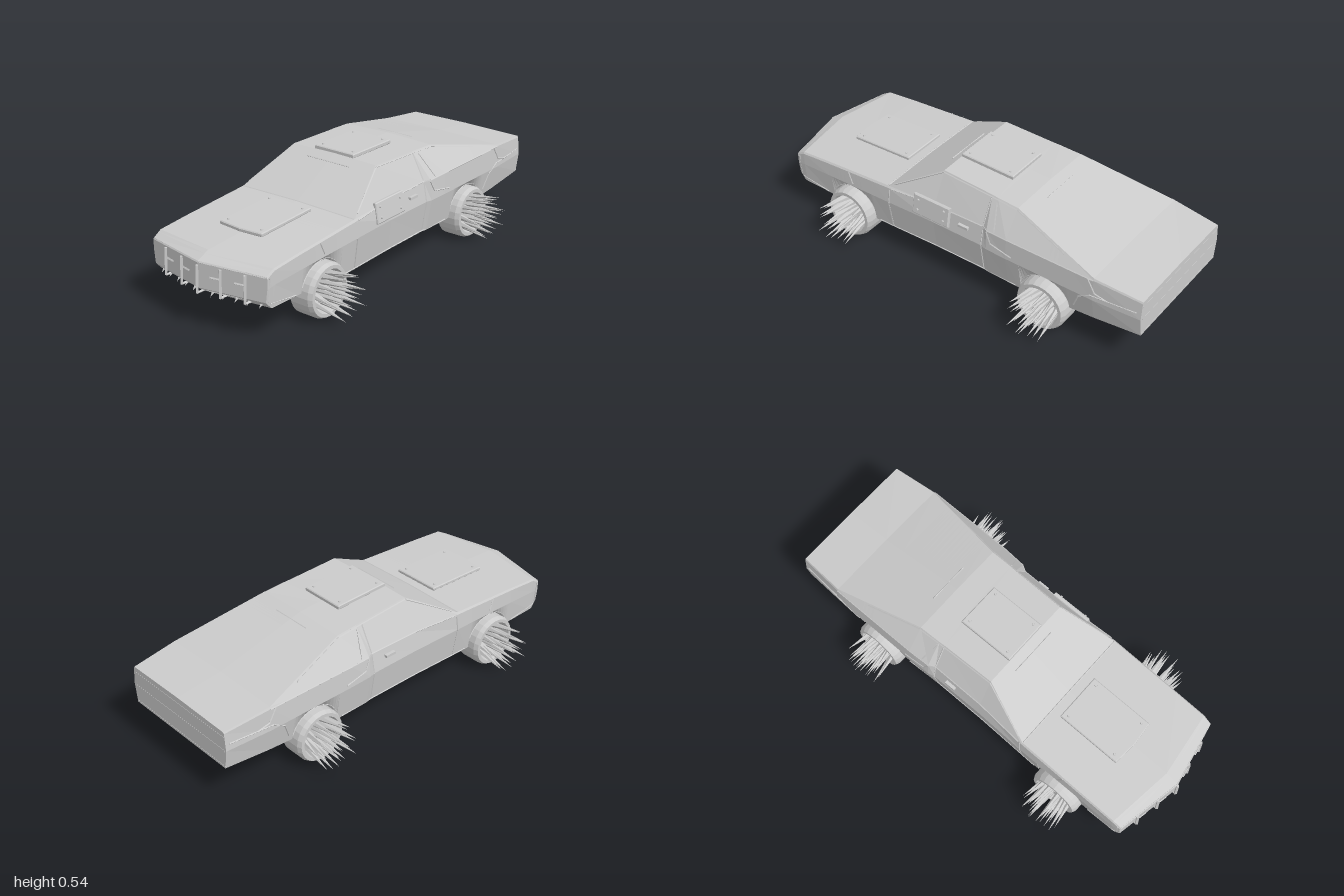
import * as THREE from 'three';

const flat = new THREE.MeshStandardMaterial({ color: 0xcccccc, flatShading: true, side: THREE.DoubleSide });
const V = (x, y, z) => new THREE.Vector3(x, y, z);
const WHEELS = [0.575, -0.52], ARCH = 0.13, AXLE = 0.125;

// Body stations: z, bottom x, waist x y, shoulder x y, top edge x y, centre y
const STATIONS = [
  [0.985, 0.314, 0.322, 0.25, 0.323, 0.297, 0.318, 0.306, 0.31],
  [0.92, 0.318, 0.326, 0.26, 0.326, 0.322, 0.32, 0.33, 0.338],
  [0.35, 0.312, 0.334, 0.28, 0.328, 0.358, 0.321, 0.367, 0.373],
  [0.09, 0.305, 0.327, 0.28, 0.311, 0.37, 0.235, 0.518, 0.523],
  [-0.18, 0.305, 0.329, 0.28, 0.311, 0.376, 0.241, 0.508, 0.515],
  [-0.21, 0.31, 0.337, 0.28, 0.328, 0.378, 0.243, 0.507, 0.513],
  [-0.32, 0.312, 0.34, 0.28, 0.334, 0.382, 0.245, 0.502, 0.509],
  [-0.77, 0.318, 0.34, 0.28, 0.335, 0.385, 0.33, 0.394, 0.40],
  [-1.0, 0.312, 0.325, 0.28, 0.317, 0.365, 0.313, 0.372, 0.376],
];
// Underside height: z, y
const UNDER = [[0.985, 0.19], [0.94, 0.157], [0.72, 0.15], [0.44, 0.125], [-0.38, 0.125], [-0.66, 0.155], [-1, 0.185]];

function sample(table, z) {
  let i = 0;
  while (i < table.length - 2 && z < table[i + 1][0]) i++;
  const a = table[i], b = table[i + 1], t = THREE.MathUtils.clamp((a[0] - z) / (a[0] - b[0]), 0, 1);
  return a.map((v, k) => v + (b[k] - v) * t);
}

function bottomY(z) {
  let y = sample(UNDER, z)[1];
  for (const c of WHEELS) {
    const d = ARCH * ARCH - (z - c) ** 2;
    if (d > 0) y = Math.max(y, AXLE + Math.sqrt(d));
  }
  return y;
}

// Half outline of the body at z, from underside to top centre
function halfSection(z) {
  const [, xb, xm, ym, xs, ys, xt, yt, yc] = sample(STATIONS, z), yb = bottomY(z);
  return [[0, yb], [xb, yb], [xm, ym], [xs, ys], [xt, yt], [0, yc]];
}

// Sweeps the front back towards the corners to make a pointed nose
const noseZ = (x, z) => z - Math.max(0, (z - 0.8) / 0.185) * 0.2 * Math.abs(x);

// Point on the side surface at (z, y)
function onSide(z, y, lift = 0) {
  const p = halfSection(z);
  let i = 1;
  while (i < 3 && y > p[i + 1][1]) i++;
  const t = THREE.MathUtils.clamp((y - p[i][1]) / (p[i + 1][1] - p[i][1] || 1), 0, 1);
  const x = p[i][0] + (p[i + 1][0] - p[i][0]) * t;
  return V(x + lift, y, noseZ(x, z));
}

function add(parent, name, geometry, position = V(0, 0, 0)) {
  const mesh = new THREE.Mesh(geometry, flat);
  mesh.name = name;
  mesh.position.copy(position);
  parent.add(mesh);
  return mesh;
}

// Straight bar or spike from a to b
function rod(parent, name, a, b, r0, r1 = r0, sides = 4) {
  const d = b.clone().sub(a);
  const mesh = add(parent, name, new THREE.CylinderGeometry(r1, r0, d.length(), sides), a.clone().lerp(b, 0.5));
  mesh.quaternion.setFromUnitVectors(V(0, 1, 0), d.normalize());
}

function bodyGeometry() {
  const zs = STATIONS.map(s => s[0]).concat(UNDER.map(u => u[0]));
  for (const c of WHEELS) {
    for (let i = 0; i <= 16; i++) zs.push(c + ARCH * Math.cos(i * Math.PI / 16));
    zs.push(c + ARCH + 0.001, c - ARCH - 0.001);
  }
  const rows = [...new Set(zs)].sort((a, b) => b - a);
  const pos = [], index = [], n = 10;
  for (const z of rows) {
    const half = halfSection(z);
    const loop = half.concat(half.slice(1, 5).reverse().map(([x, y]) => [-x, y]));
    for (const [x, y] of loop) pos.push(x, y, noseZ(x, z));
  }
  for (let i = 0; i < rows.length - 1; i++) for (let j = 0; j < n; j++) {
    const a = i * n + j, b = i * n + (j + 1) % n;
    index.push(a, a + n, b, a + n, b + n, b);
  }
  const last = (rows.length - 1) * n;
  for (let k = 1; k < n - 1; k++) index.push(0, k, k + 1, last, last + k + 1, last + k);
  const g = new THREE.BufferGeometry();
  g.setAttribute('position', new THREE.Float32BufferAttribute(pos, 3));
  g.setIndex(index);
  g.computeVertexNormals();
  return g;
}

// Bolted armour plate lying in its local xz plane, with an optional pointed front edge
function plate(name, w, l, h, point = 0) {
  const g = new THREE.Group();
  g.name = name;
  const s = new THREE.Shape([[-w / 2, l / 2], [w / 2, l / 2], [w / 2, -l / 2], [0, -l / 2 - point], [-w / 2, -l / 2]]
    .map(([x, y]) => new THREE.Vector2(x, y)));
  const panel = new THREE.ExtrudeGeometry(s, { depth: h, bevelSize: 0.004, bevelThickness: 0.004, bevelSegments: 1 });
  add(g, 'panel', panel.rotateX(-Math.PI / 2));
  for (const x of [-1, 1]) for (const z of [-1, 1])
    add(g, 'bolt', new THREE.CylinderGeometry(0.005, 0.007, 0.007, 8), V(x * (w / 2 - 0.02), h + 0.006, z * (l / 2 - 0.025)));
  return g;
}

function wheel() {
  const g = new THREE.Group();
  g.name = 'wheel';
  const profile = [[0, 0], [0.114, 0], [0.125, 0.012], [0.125, 0.105], [0.116, 0.125], [0.1, 0.125], [0.09, 0.085], [0, 0.075]]
    .map(([r, y]) => new THREE.Vector2(r, y));
  add(g, 'tyre', new THREE.LatheGeometry(profile, 24).rotateZ(-Math.PI / 2));
  add(g, 'hub', new THREE.CylinderGeometry(0.018, 0.028, 0.04, 10).rotateZ(-Math.PI / 2), V(0.09, 0, 0));
  // Rings of spikes: count, base radius, tip radius, tip reach
  for (const [n, r0, r1, reach] of [[10, 0.072, 0.103, 0.255], [8, 0.048, 0.07, 0.27], [4, 0.024, 0.03, 0.28]])
    for (let i = 0; i < n; i++) {
      const t = (i + 0.5) / n * Math.PI * 2, c = Math.cos(t), s = Math.sin(t), k = reach - (i % 3) * 0.02;
      rod(g, 'spike', V(0.075, r0 * c, r0 * s), V(k, r1 * c, r1 * s), 0.016, 0, 5);
    }
  return g;
}

// Raised seams and trim on one side, as (z, y) paths
function sideTrim() {
  const g = new THREE.Group();
  g.name = 'sideTrim';
  const paths = {
    beltLine: [[0.33, 0.359], [0.09, 0.37], [-0.18, 0.376], [-0.21, 0.378], [-0.32, 0.382], [-0.77, 0.384]],
    windowFrame: [[0.32, 0.382], [0.09, 0.51], [-0.18, 0.5], [-0.32, 0.494], [-0.6, 0.425]],
    centrePillar: [[-0.18, 0.5], [-0.18, 0.38]],
    quarterPillar: [[-0.215, 0.49], [-0.25, 0.385]],
    doorFrontSeam: [[0.34, 0.35], [0.345, 0.28], [0.34, 0.135]],
    doorRearSeam: [[-0.18, 0.37], [-0.18, 0.28], [-0.18, 0.135]],
    quarterCrease: [[-0.21, 0.37], [-0.235, 0.32], [-0.35, 0.3]],
    fenderSeam: [[0.59, 0.342], [0.565, 0.285]],
    tailSeam: [[-0.74, 0.385], [-0.78, 0.32], [-0.84, 0.305]],
    tailCrease: [[-0.67, 0.19], [-0.7, 0.265], [-0.76, 0.302], [-0.98, 0.31]],
    noseEdge: [[0.965, 0.3], [0.965, 0.19]],
    chinEdge: [[0.95, 0.18], [0.74, 0.155]],
    sill: [[0.42, 0.13], [0.09, 0.13], [-0.18, 0.13], [-0.36, 0.13]],
  };
  WHEELS.forEach((c, k) => {
    paths['wheelArch' + k] = Array.from({ length: 13 }, (_, i) => {
      const t = (0.12 + 0.76 * i / 12) * Math.PI;
      return [c + (ARCH + 0.004) * Math.cos(t), AXLE + (ARCH + 0.004) * Math.sin(t)];
    });
  });
  for (const [name, path] of Object.entries(paths))
    for (let i = 1; i < path.length; i++) rod(g, name, onSide(...path[i - 1]), onSide(...path[i]), 0.0035);
  add(g, 'doorHandle', new THREE.BoxGeometry(0.016, 0.012, 0.055), onSide(-0.08, 0.335, 0.006));
  return g;
}

export function createModel() {
  const car = new THREE.Group();
  car.name = 'armouredCar';
  add(car, 'body', bodyGeometry());

  // Both sides: trim and wheels
  const left = sideTrim(), right = sideTrim();
  right.scale.x = -1;
  car.add(left, right);
  for (const z of WHEELS) for (const side of [1, -1]) {
    const w = wheel();
    w.position.set(side * 0.24, AXLE, z);
    if (side < 0) w.rotation.y = Math.PI;
    car.add(w);
  }
  add(car, 'rearBeam', new THREE.BoxGeometry(0.22, 0.06, 0.07), V(0, 0.18, WHEELS[1]));

  // Armour plates on bonnet, roof and left door
  const bonnet = plate('bonnetPlate', 0.23, 0.315, 0.01, 0.01);
  bonnet.position.set(0, 0.365, 0.56);
  bonnet.rotation.x = 0.038;
  const roof = plate('roofPlate', 0.212, 0.275, 0.013);
  roof.position.set(0, 0.519, -0.053);
  roof.rotation.x = -0.02;
  const door = plate('doorPlate', 0.09, 0.195, 0.012);
  door.position.set(0.315, 0.342, 0.1);
  door.rotation.z = -Math.PI / 2 + 0.18;
  car.add(bonnet, roof, door);

  // Front guard: uprights, cross bars and small teeth
  const nose = (x, y, out = 0.009) => V(x, y, noseZ(x, 0.985) + out);
  for (const x of [-0.225, -0.11, 0, 0.11, 0.225]) {
    rod(car, 'guardUpright', nose(x, 0.295, 0.004), nose(x, 0.17), 0.008);
    rod(car, 'guardBracket', nose(x, 0.17), V(x, 0.165, 0.89), 0.006);
  }
  for (const s of [-1, 1]) {
    for (const x of [0.06, 0.175])
      rod(car, 'guardCrossBar', nose(s * (x + 0.05), 0.25, 0.004), nose(s * x, 0.25, 0.004), 0.005);
    rod(car, 'guardLowerBar', nose(s * 0.3, 0.175, -0.03), nose(0, 0.175, -0.03), 0.01);
    for (let i = 0; i < 5; i++) {
      const x = s * (0.05 + i * 0.057);
      rod(car, 'guardTooth', nose(x, 0.178, -0.03), nose(x, 0.155, -0.005), 0.009, 0, 5);
    }
    rod(car, 'noseLip', nose(s * 0.318, 0.302, -0.002), nose(0, 0.307, -0.002), 0.005);
    rod(car, 'bonnetRearSeam', V(s * 0.318, 0.366, 0.352), V(0, 0.372, 0.352), 0.004);
  }

  // Tail strips, roof and window seams
  for (const [y, h] of [[0.275, 0.01], [0.345, 0.006], [0.192, 0.01]])
    add(car, 'tailStrip', new THREE.BoxGeometry(0.625, h, 0.006), V(0, y, -0.998));
  rod(car, 'rearWindowSeam', V(-0.1, 0.494, -0.375), V(0.1, 0.494, -0.375), 0.003);
  rod(car, 'windscreenSeam', V(-0.12, 0.497, 0.135), V(0.12, 0.497, 0.135), 0.003);
  return car;
}
